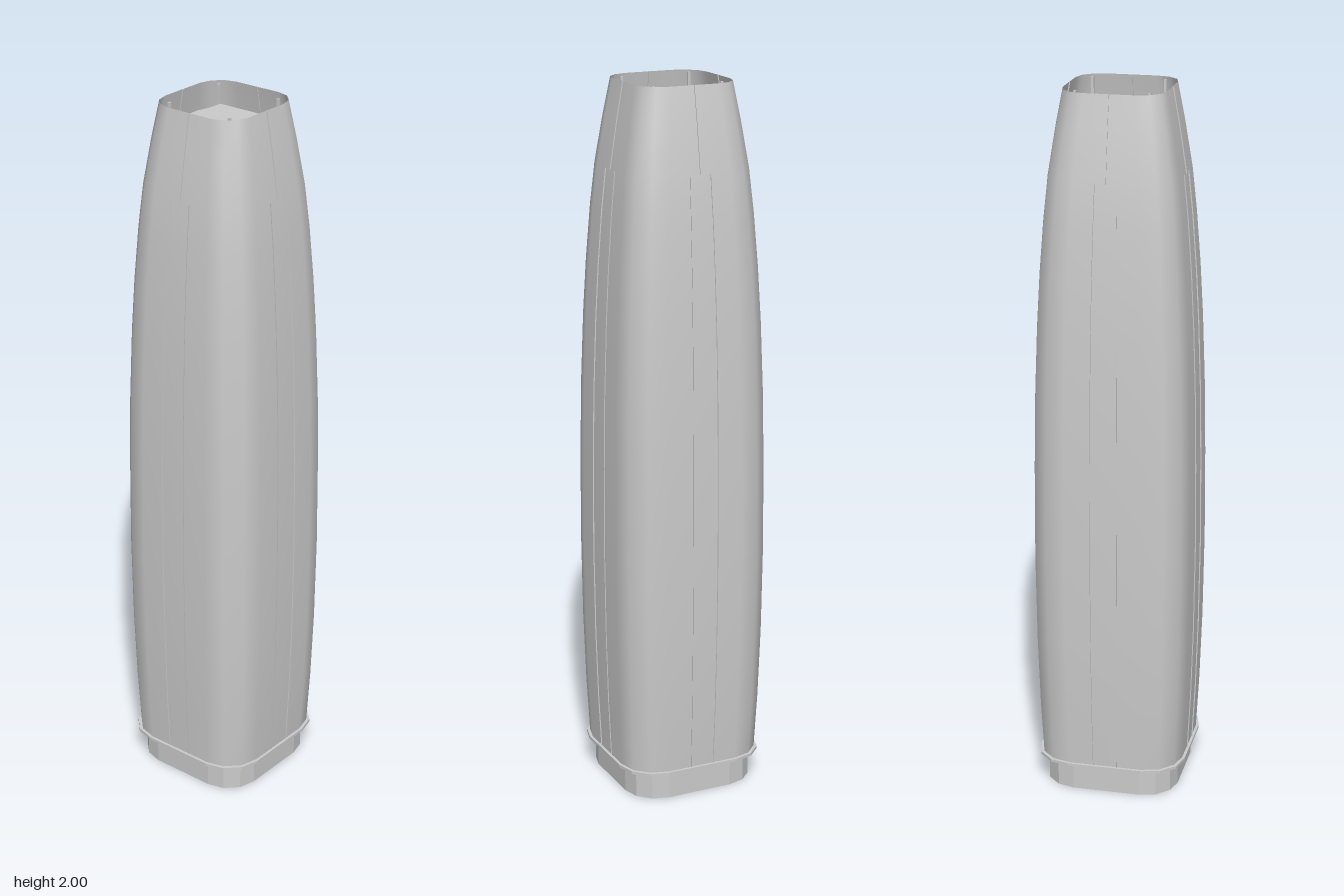
import * as THREE from 'three';

const stone = new THREE.MeshStandardMaterial({ color: 0xcbcbcb, side: THREE.DoubleSide });
stone.name = 'pale grey cladding';

// Half width of the tower at each height
const profile = [
  [0.085, 0.204], [0.25, 0.212], [0.45, 0.218], [0.7, 0.221], [0.95, 0.2195], [1.15, 0.216],
  [1.35, 0.209], [1.5, 0.201], [1.65, 0.19], [1.77, 0.178], [1.9, 0.158], [2.0, 0.14],
];

// Rounded square: flat middle half of each side, three facets per corner
function ring(half) {
  const points = [];
  for (let corner = 0; corner < 4; corner++) {
    const mid = (corner + 0.5) * Math.PI / 2;
    const cx = Math.sign(Math.cos(mid)) * half / 2;
    const cy = Math.sign(Math.sin(mid)) * half / 2;
    for (let i = 0; i <= 3; i++) {
      const a = (corner + i / 3) * Math.PI / 2;
      points.push(new THREE.Vector2(cx + Math.cos(a) * half / 2, cy + Math.sin(a) * half / 2));
    }
  }
  return points;
}

// Skin through rounded squares of given [height, half width]
function loft(rows) {
  const positions = [], index = [];
  for (const [y, half] of rows) {
    for (const p of ring(half)) positions.push(p.x, y, -p.y);
  }
  const n = 16;
  for (let r = 0; r < rows.length - 1; r++) {
    for (let i = 0; i < n; i++) {
      const a = r * n + i, b = r * n + (i + 1) % n;
      index.push(a, b, b + n, a, b + n, a + n);
    }
  }
  const geometry = new THREE.BufferGeometry();
  geometry.setAttribute('position', new THREE.Float32BufferAttribute(positions, 3));
  geometry.setIndex(index);
  geometry.computeVertexNormals();
  return geometry;
}

function flat(geometry) {
  const g = geometry.toNonIndexed();
  g.computeVertexNormals();
  return g;
}

// Horizontal rounded-square slab face
function cap(half, y, up) {
  return new THREE.ShapeGeometry(new THREE.Shape(ring(half)))
    .rotateX(up ? -Math.PI / 2 : Math.PI / 2).translate(0, y, 0);
}

// Thin rib following the profile; slope sets its sideways offset in proportion to the width
function rib(from, to, slope) {
  const rows = profile.filter(([y]) => y >= from && y <= to);
  const outer = rows.map(([y, h]) => new THREE.Vector2(h + 0.003, y));
  const inner = rows.map(([y, h]) => new THREE.Vector2(h - 0.003, y)).reverse();
  const geometry = new THREE.ExtrudeGeometry(new THREE.Shape([...outer, ...inner]),
    { depth: 0.0015, bevelEnabled: false }).translate(0, 0, -0.00075);
  const p = geometry.attributes.position;
  for (let i = 0; i < p.count; i++) p.setZ(i, p.getZ(i) + slope * p.getX(i));
  geometry.computeVertexNormals();
  return geometry;
}

export function createModel() {
  const model = new THREE.Group();
  model.name = 'tower';
  const add = (name, geometry, parent = model) => {
    const mesh = new THREE.Mesh(geometry, stone);
    mesh.name = name;
    parent.add(mesh);
    return mesh;
  };

  // Tapered shaft, recessed base and the thin ledge between them
  add('shaft', loft(profile));
  add('base', flat(loft([[0, 0.19], [0.085, 0.19]])));
  add('baseCeiling', cap(0.189, 0.07, false));
  add('ledge', flat(loft([[0.08, 0.19], [0.08, 0.212], [0.088, 0.212], [0.088, 0.2]])));

  // Sunken roof with plant room and corner posts
  add('roof', cap(0.153, 1.92, true));
  add('plantRoom', new THREE.BoxGeometry(0.142, 0.037, 0.142).translate(0, 1.9385, 0));
  for (const x of [-0.1, 0.1]) {
    for (const z of [-0.1, 0.1]) {
      add('roofPost', new THREE.BoxGeometry(0.007, 0.078, 0.007).translate(x, 1.959, z));
    }
  }

  // Ribs: one at the top and two below on every side
  for (let side = 0; side < 4; side++) {
    const ribs = new THREE.Group();
    ribs.name = 'sideRibs';
    ribs.rotation.y = side * Math.PI / 2;
    add('upperRib', rib(1.77, 2, 0), ribs);
    add('lowerRib', rib(0.08, 1.77, 0.168), ribs);
    add('lowerRib', rib(0.08, 1.77, -0.168), ribs);
    model.add(ribs);
  }
  return model;
}
